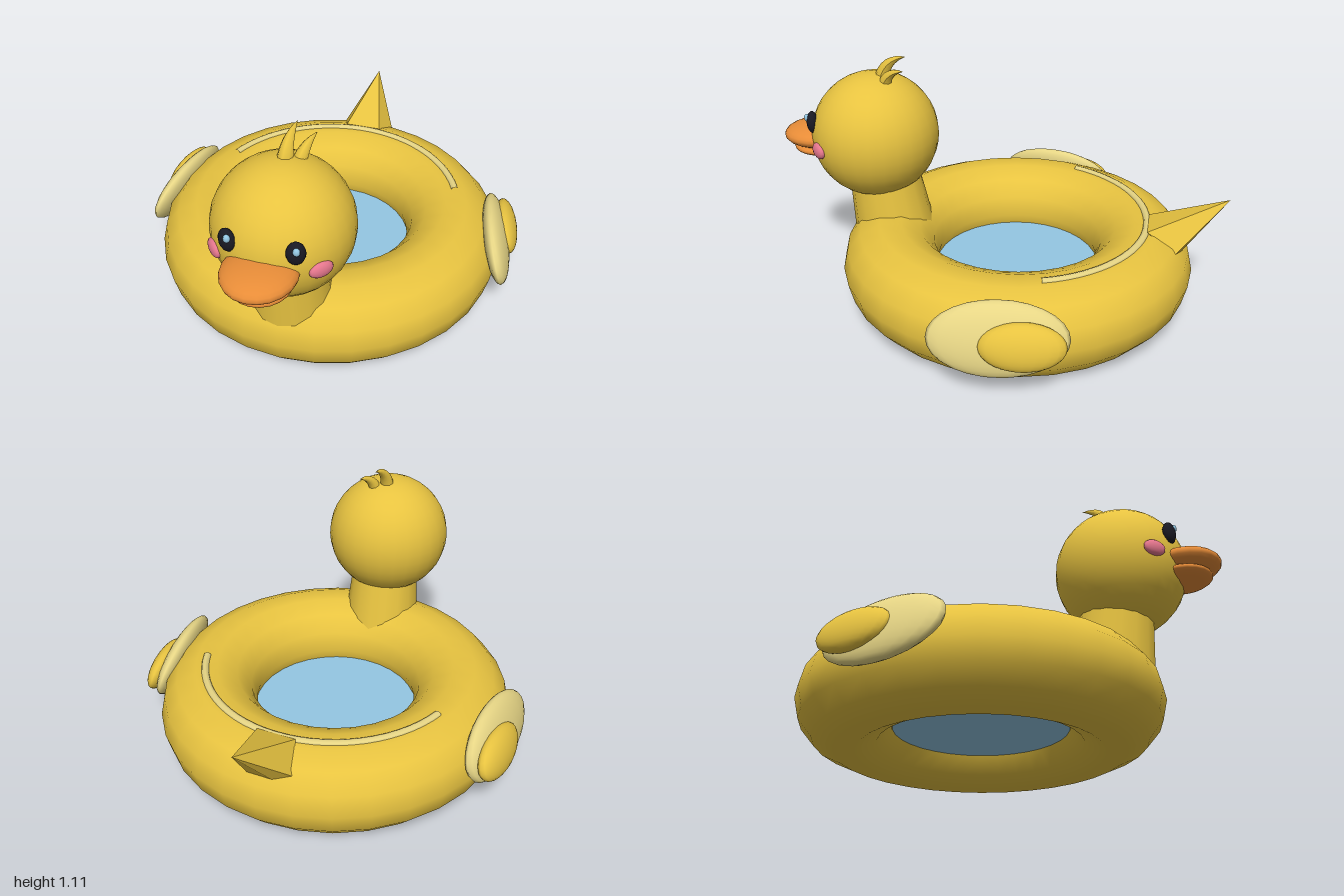
import * as THREE from 'three';
import { ConvexGeometry } from 'three/addons/geometries/ConvexGeometry.js';

const material = (name, color, extra = {}) => {
  const m = new THREE.MeshStandardMaterial({ color, ...extra });
  m.name = name;
  return m;
};

export function createModel() {
  const yellow = material('yellow', 0xfad346);
  const cream = material('cream', 0xf2e08c);
  const orange = material('orange', 0xf7963c);
  const pink = material('pink', 0xe8788f);
  const dark = material('dark', 0x1a1a24);
  const blue = material('water blue', 0x94c7e3);
  const yellowFlat = material('yellow faceted', 0xfad346, { flatShading: true });

  const model = new THREE.Group();
  model.name = 'duckSwimRing';
  const RING_Z = -0.08;

  const add = (name, geometry, mat, position = [0, 0, 0], rotation = [0, 0, 0]) => {
    const mesh = new THREE.Mesh(geometry, mat);
    mesh.name = name;
    mesh.position.set(...position);
    mesh.rotation.set(...rotation);
    model.add(mesh);
    return mesh;
  };
  const ellipsoid = (name, mat, radii, position, rotation, w = 20, h = 14) => {
    const mesh = add(name, new THREE.SphereGeometry(1, w, h), mat, position, rotation);
    mesh.scale.set(...radii);
    return mesh;
  };

  // Inflated ring, slightly flattened
  const ring = new THREE.TorusGeometry(0.575, 0.215, 14, 32).rotateX(-Math.PI / 2).scale(1, 0.953, 1);
  add('ring', ring, yellow, [0, 0.2, RING_Z]);

  // Floor inside the hole
  add('ringFloor', new THREE.CylinderGeometry(0.38, 0.38, 0.04, 32), blue, [0, 0.135, RING_Z]);

  // Raised stripe around the back of the ring
  const arc = THREE.MathUtils.degToRad(140);
  const stripe = new THREE.TorusGeometry(0.58, 0.018, 8, 28, arc)
    .rotateZ((Math.PI - arc) / 2).rotateX(-Math.PI / 2);
  add('backStripe', stripe, cream, [0, 0.395, RING_Z]);

  // Neck leaning forward into the head
  add('neck', new THREE.CylinderGeometry(0.156, 0.185, 0.32, 16), yellow, [0, 0.41, 0.522], [0.14, 0, 0]);
  ellipsoid('head', yellow, [0.284, 0.282, 0.282], [0, 0.74, 0.57], [0, 0, 0], 28, 20);

  // Beak
  ellipsoid('upperBeak', orange, [0.147, 0.055, 0.157], [0, 0.722, 0.841]);
  ellipsoid('lowerBeak', orange, [0.122, 0.034, 0.127], [0, 0.665, 0.83]);

  // Paired face parts and wings
  for (const s of [1, -1]) {
    const side = s > 0 ? 'left' : 'right';
    ellipsoid(side + 'Eye', dark, [0.037, 0.05, 0.025], [s * 0.13, 0.82, 0.812], [0, s * 0.35, 0], 14, 10);
    ellipsoid(side + 'EyeGlint', blue, [0.014, 0.017, 0.012], [s * 0.13 + 0.009, 0.843, 0.832], [0, 0, 0], 10, 8);
    ellipsoid(side + 'Cheek', pink, [0.05, 0.035, 0.02], [s * 0.207, 0.72, 0.76], [0, s * 0.8, 0], 14, 10);
    const tilt = [0, s * 0.16, s * 0.32];
    ellipsoid(side + 'Wing', cream, [0.055, 0.152, 0.277], [s * 0.768, 0.265, -0.15], tilt);
    ellipsoid(side + 'WingPatch', yellow, [0.05, 0.096, 0.17], [s * 0.802, 0.265, -0.25], tilt);
  }

  // Pointed tail, a faceted pyramid
  const tail = [new THREE.Vector3(0, 0.56, -1)];
  for (const [x, y, z] of [[0.085, 0.412, -0.665], [0.13, 0.34, -0.79], [0.065, 0.27, -0.78]]) {
    tail.push(new THREE.Vector3(x, y, z), new THREE.Vector3(-x, y, z));
  }
  add('tail', new ConvexGeometry(tail), yellowFlat);

  // Swept-back tufts: tubes narrowing towards the tip
  const tuft = (name, radius, ...points) => {
    const curve = new THREE.QuadraticBezierCurve3(...points.map(p => new THREE.Vector3(...p)));
    const segments = 8, sides = 8;
    const geometry = new THREE.TubeGeometry(curve, segments, radius, sides);
    const pos = geometry.attributes.position;
    const v = new THREE.Vector3();
    for (let i = 0; i < pos.count; i++) {
      const t = Math.floor(i / (sides + 1)) / segments;
      v.fromBufferAttribute(pos, i).lerp(curve.getPointAt(t), t ** 1.5);
      pos.setXYZ(i, v.x, v.y, v.z);
    }
    geometry.computeVertexNormals();
    add(name, geometry, yellow);
  };
  tuft('tallTuft', 0.033, [-0.003, 0.99, 0.53], [0, 1.09, 0.51], [0.012, 1.105, 0.41]);
  tuft('shortTuft', 0.028, [0.045, 0.985, 0.5], [0.06, 1.055, 0.48], [0.085, 1.062, 0.4]);

  return model;
}
